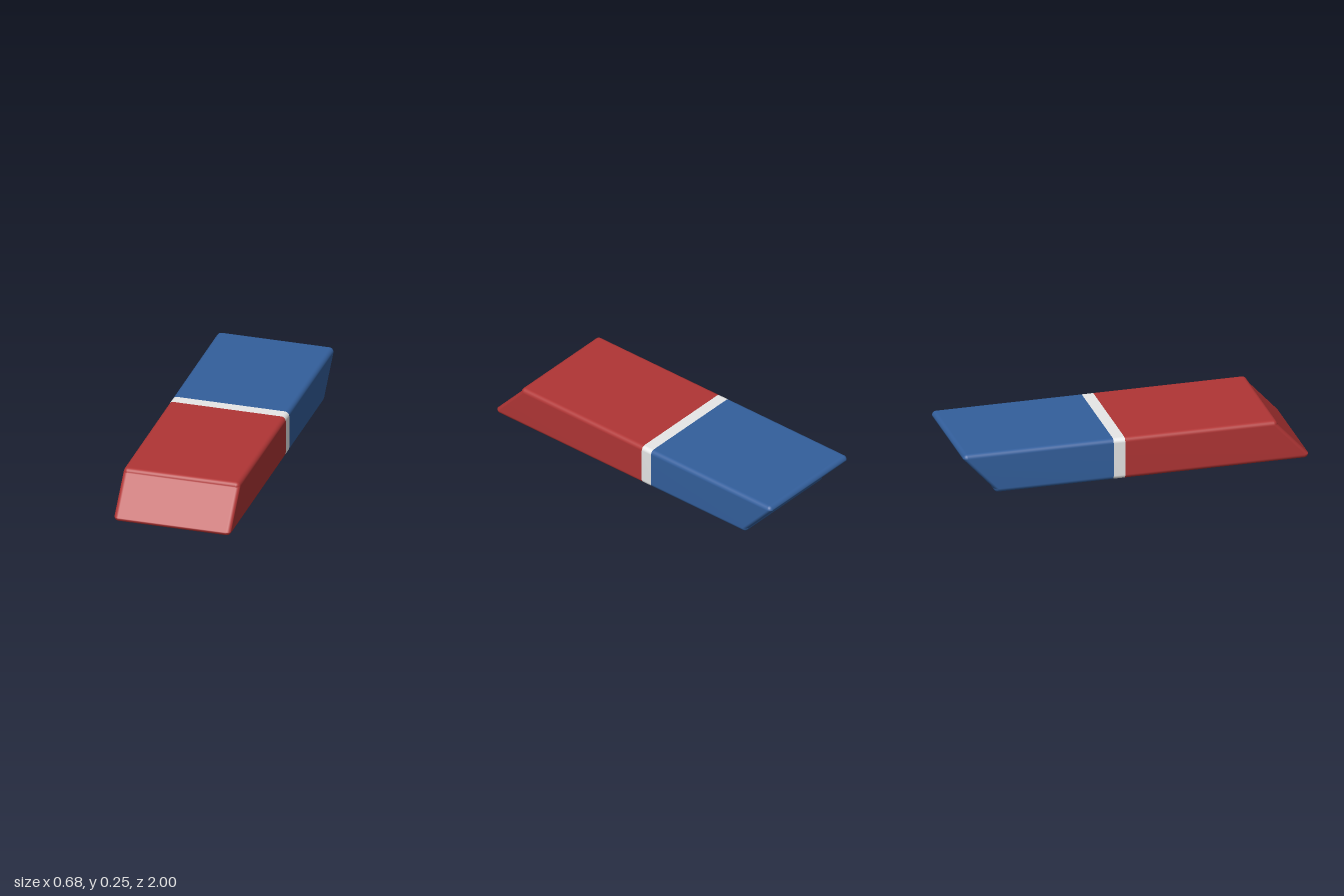
import * as THREE from 'three';
import { mergeVertices } from 'three/addons/utils/BufferGeometryUtils.js';

const HALF_W = 0.34, HEIGHT = 0.247, R = 0.026; // bar section and edge radius
const HALF_L = 0.911, SLANT = 0.089;            // mid-height half length, end shift
const BAND_BACK = -0.132, BAND_FRONT = -0.065;  // white band limits along z
const STEPS = 6;

// Rounded-rectangle loop of radius r; each corner takes its own z
function ring(r, zAtCorner) {
  const points = [];
  [[1, -1], [1, 1], [-1, 1], [-1, -1]].forEach(([sx, sy], corner) => {
    for (let i = 0; i <= STEPS; i++) {
      const a = (corner - 1 + i / STEPS) * Math.PI / 2;
      points.push([
        sx * (HALF_W - R) + r * Math.cos(a),
        HEIGHT / 2 + sy * (HEIGHT / 2 - R) + r * Math.sin(a),
        zAtCorner(sy),
      ]);
    }
  });
  return points;
}

const cut = (z) => ring(R, () => z);

// Loops of a rounded, slanted end, ordered by rising z
function slantedEnd(side) {
  const rings = [];
  for (let i = 0; i <= STEPS; i++) {
    const a = (i / STEPS) * Math.PI / 2;
    const z = side * (HALF_L - R + R * Math.sin(a));
    rings.push(ring(R * Math.cos(a), (sy) => z - sy * SLANT));
  }
  return side > 0 ? rings : rings.reverse();
}

// Skin the loops and close the requested ends
function skin(rings, capBack, capFront) {
  const n = rings[0].length, index = [];
  for (let j = 0; j < rings.length - 1; j++) {
    for (let i = 0; i < n; i++) {
      const k = (i + 1) % n;
      const a = j * n + i, b = j * n + k, c = b + n, d = a + n;
      index.push(a, b, c, a, c, d);
    }
  }
  const last = (rings.length - 1) * n;
  for (let i = 1; i < n - 1; i++) {
    if (capBack) index.push(0, i + 1, i);
    if (capFront) index.push(last, last + i, last + i + 1);
  }
  let geometry = new THREE.BufferGeometry();
  geometry.setAttribute('position', new THREE.Float32BufferAttribute(rings.flat(2), 3));
  geometry.setIndex(index);
  geometry = mergeVertices(geometry, 1e-5);
  geometry.computeVertexNormals();
  return geometry;
}

export function createModel() {
  const model = new THREE.Group();
  model.name = 'eraser';
  const add = (name, materialName, color, geometry) => {
    const material = new THREE.MeshStandardMaterial({ color });
    material.name = materialName;
    const mesh = new THREE.Mesh(geometry, material);
    mesh.name = name;
    model.add(mesh);
  };

  // Front half, middle band, back half
  add('frontHalf', 'red rubber', 0xb03535, skin([cut(BAND_FRONT), ...slantedEnd(1)], false, true));
  add('middleBand', 'white rubber', 0xeeeeee, skin([cut(BAND_BACK), cut(BAND_FRONT)], false, false));
  add('backHalf', 'blue rubber', 0x335f9c, skin([...slantedEnd(-1), cut(BAND_BACK)], true, false));
  return model;
}
